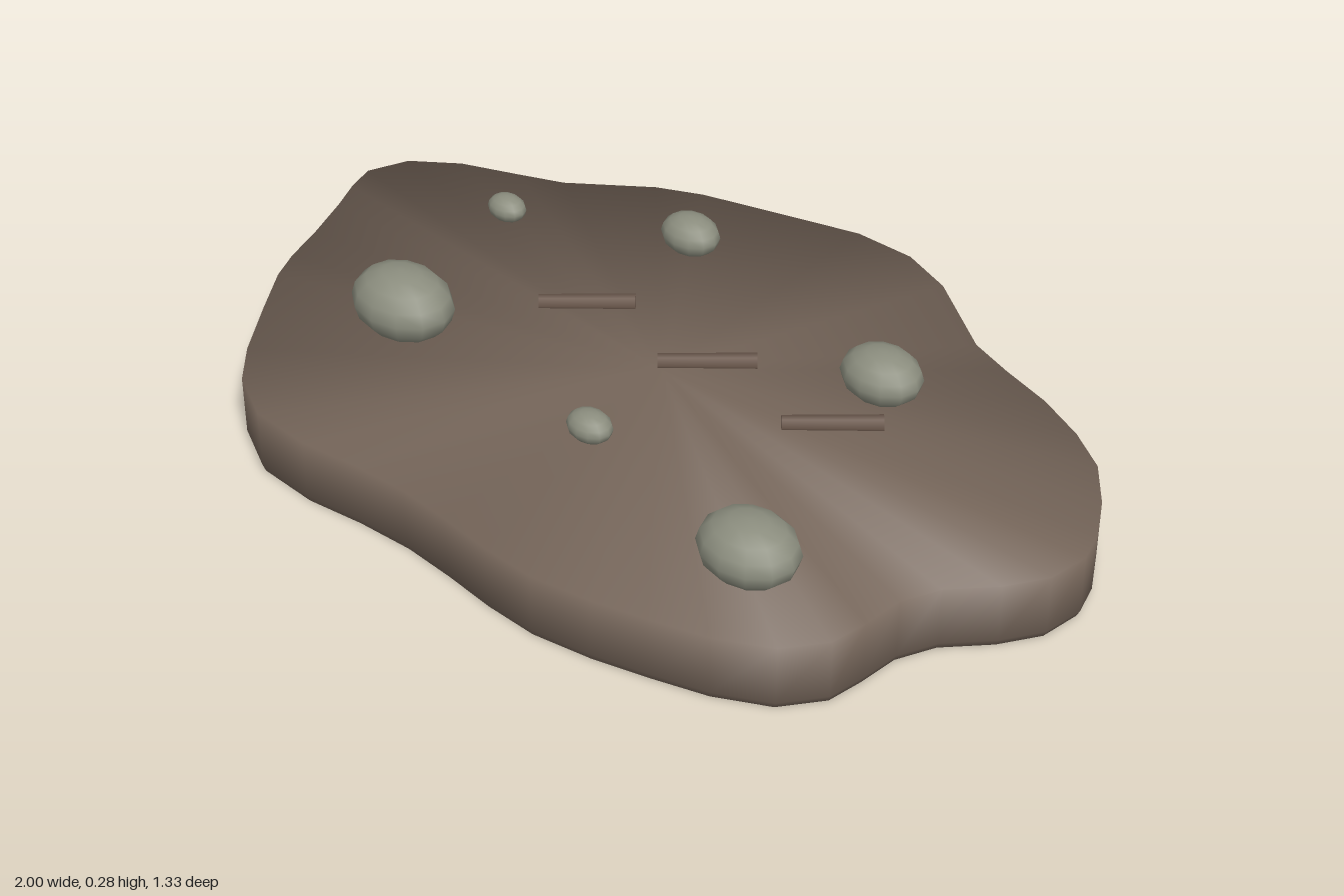
import * as THREE from 'three';

// Slab outline as x, z pairs, running round from the right tip past the back
const OUTLINE = [
  [-1, -.15], [-.96, -.24], [-.86, -.31], [-.73, -.36], [-.63, -.4], [-.46, -.52], [-.36, -.565],
  [-.2, -.61], [0, -.665], [.14, -.665], [.26, -.62], [.44, -.49], [.54, -.455], [.66, -.42],
  [.77, -.37], [.86, -.31], [.93, -.22], [.98, -.13], [1, -.06], [.985, .03], [.93, .11],
  [.85, .19], [.81, .27], [.8, .36], [.785, .44], [.72, .52], [.61, .575], [.49, .61],
  [.37, .64], [.24, .66], [.12, .655], [0, .64], [-.12, .63], [-.25, .635], [-.38, .65],
  [-.52, .64], [-.63, .58], [-.7, .5], [-.78, .38], [-.85, .27], [-.88, .2], [-.91, .1],
  [-.95, -.01], [-.98, -.08],
];
const TOP = 0.147;

// Flat slab with soft shading that rolls over the rim
function slabGeometry() {
  const n = OUTLINE.length, positions = [], normals = [], index = [];
  // each ring: height, outline scale, vertical part of its normal
  const rings = [[0, 0.993, -1], [0.015, 1, -0.4], [TOP, 1, 0.8]];
  for (const [y, scale, lift] of rings) {
    OUTLINE.forEach(([x, z], i) => {
      const [ax, az] = OUTLINE[(i + n - 1) % n], [bx, bz] = OUTLINE[(i + 1) % n];
      const out = new THREE.Vector3(bz - az, 0, ax - bx).normalize().setY(lift).normalize();
      positions.push(x * scale, y, z * scale);
      normals.push(out.x, out.y, out.z);
    });
  }
  const bottom = 3 * n, top = bottom + 1;
  positions.push(0, 0, 0, 0, TOP, 0);
  normals.push(0, -1, 0, 0, 1, 0);
  for (let i = 0; i < n; i++) {
    const j = (i + 1) % n;
    index.push(bottom, i, j, top, 2 * n + j, 2 * n + i);
    for (let r = 0; r < 2; r++) {
      const a = r * n, b = a + n;
      index.push(a + j, a + i, b + i, a + j, b + i, b + j);
    }
  }
  const g = new THREE.BufferGeometry();
  g.setAttribute('position', new THREE.Float32BufferAttribute(positions, 3));
  g.setAttribute('normal', new THREE.Float32BufferAttribute(normals, 3));
  g.setIndex(index);
  return g;
}

export function createModel() {
  const earth = new THREE.MeshStandardMaterial({ name: 'earth brown', color: 0x76665a });
  const stone = new THREE.MeshStandardMaterial({ name: 'stone grey', color: 0x8c8e7f });
  const wood = new THREE.MeshStandardMaterial({ name: 'twig brown', color: 0x6a574b });
  const group = new THREE.Group();
  group.name = 'groundPatch';

  const add = (name, geometry, material) => {
    const mesh = new THREE.Mesh(geometry, material);
    mesh.name = name;
    group.add(mesh);
    return mesh;
  };

  add('groundSlab', slabGeometry(), earth);

  // Half-sunk pebbles: x, y, z, then radii
  const pebble = new THREE.SphereGeometry(1, 12, 8);
  const pebbles = [
    [-.52, .2, .22, .12, .077, .095],
    [.535, .197, .375, .108, .069, .09],
    [.385, .187, -.235, .091, .058, .075],
    [-.25, .178, -.39, .07, .045, .056],
    [-.635, .168, -.22, .047, .03, .037],
    [.035, .17, .26, .052, .033, .041],
  ];
  pebbles.forEach(([x, y, z, rx, ry, rz], i) => {
    const mesh = add(`pebble${i + 1}`, pebble, stone);
    mesh.position.set(x, y, z);
    mesh.scale.set(rx, ry, rz);
  });

  // Three parallel twigs lying on the slab
  const twig = new THREE.CylinderGeometry(.017, .019, .205, 6).rotateZ(Math.PI / 2).rotateY(.7);
  [-.27, .06, .385].forEach((x, i) => {
    add(`twig${i + 1}`, twig, wood).position.set(x, .154, -.075);
  });

  return group;
}
